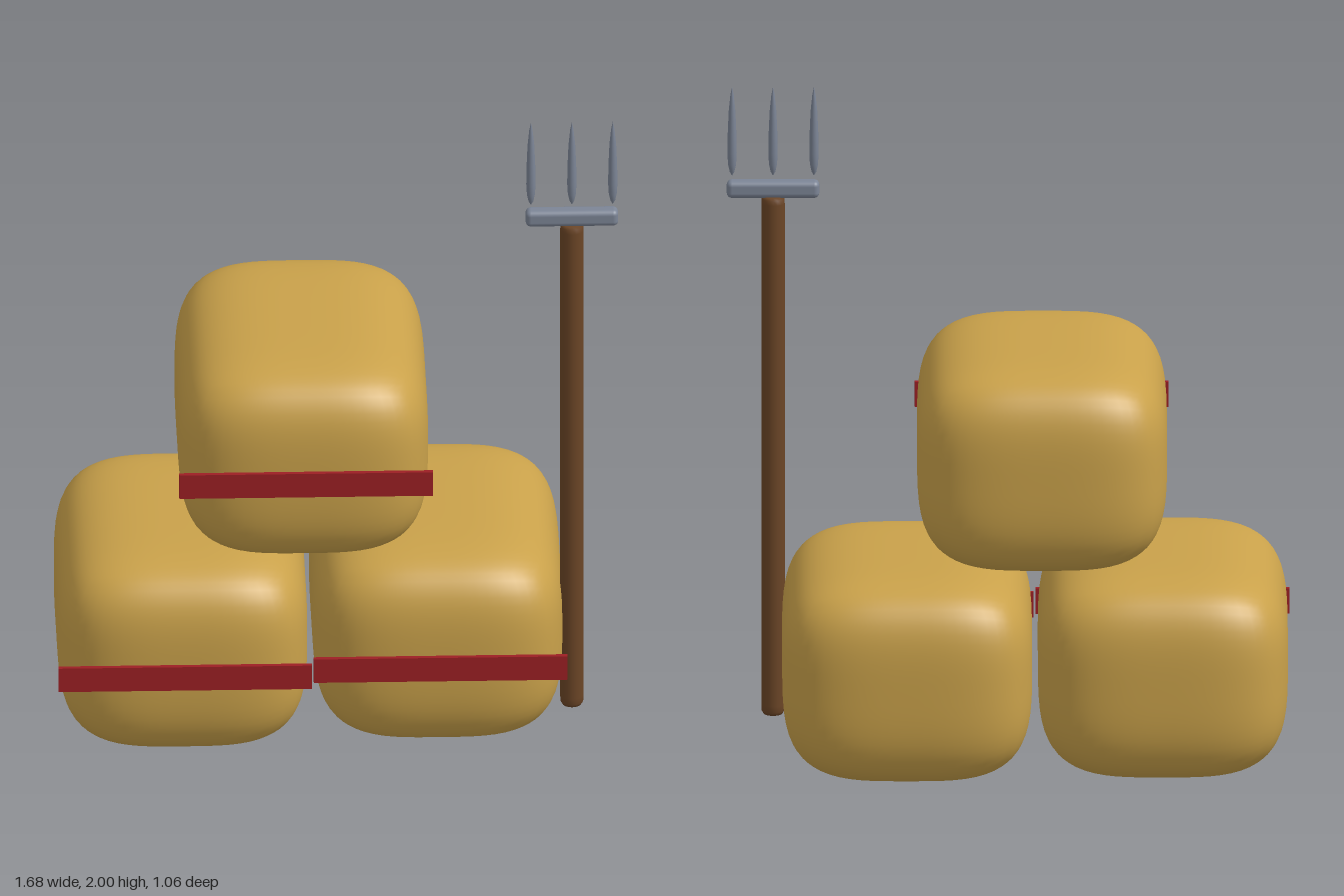
import * as THREE from 'three';
import { mergeVertices } from 'three/addons/utils/BufferGeometryUtils.js';
import { RoundedBoxGeometry } from 'three/addons/geometries/RoundedBoxGeometry.js';

const mat = (name, color) => {
  const m = new THREE.MeshStandardMaterial({ color });
  m.name = name;
  return m;
};

// Pillow-like box: each point is pulled onto |x|^3.5 + |y|^3.5 + |z|^6 = 1
function baleGeometry(w, h, d) {
  let g = new THREE.BoxGeometry(2, 2, 2, 20, 20, 20);
  g.deleteAttribute('uv');
  g.deleteAttribute('normal');
  g = mergeVertices(g);
  const p = g.attributes.position;
  for (let i = 0; i < p.count; i++) {
    const x = p.getX(i), y = p.getY(i), z = p.getZ(i);
    let lo = 0, hi = 1;
    for (let k = 0; k < 24; k++) {
      const t = (lo + hi) / 2;
      const sum = Math.abs(x * t) ** 3.5 + Math.abs(y * t) ** 3.5 + Math.abs(z * t) ** 6;
      if (sum > 1) hi = t; else lo = t;
    }
    p.setXYZ(i, x * lo * w / 2, y * lo * h / 2, z * lo * d / 2);
  }
  g.computeVertexNormals();
  return g;
}

const lathe = (points, sides) =>
  new THREE.LatheGeometry(points.map(([r, y]) => new THREE.Vector2(r, y)), sides);

export function createModel() {
  const root = new THREE.Group();
  root.name = 'hayBalesWithFork';
  const straw = mat('straw', 0xc9a14a);
  const red = mat('redStrap', 0x9c1f24);
  const wood = mat('wood', 0x6b4526);
  const steel = mat('steel', 0x7c8596);

  const add = (parent, name, geo, material, x, y, z) => {
    const m = new THREE.Mesh(geo, material);
    m.name = name;
    m.position.set(x, y, z);
    parent.add(m);
  };

  // Three stacked bales, each with a strap in front
  const baleGeo = baleGeometry(0.745, 0.63, 0.99);
  const strapGeo = new THREE.BoxGeometry(0.756, 0.078, 0.015);
  const bales = [
    ['leftBale', 0.3, 0.32, -0.035],
    ['rightBale', -0.462, 0.32, 0.005],
    ['topBale', -0.102, 0.96, 0.005],
  ];
  for (const [name, x, y, z] of bales) {
    const bale = new THREE.Group();
    bale.name = name;
    bale.position.set(x, y, z);
    add(bale, 'hay', baleGeo, straw, 0, 0, 0);
    add(bale, 'strap', strapGeo, red, 0, 0, 0.515);
    root.add(bale);
  }

  // Pitchfork standing beside the bales
  const fork = new THREE.Group();
  fork.name = 'pitchfork';
  fork.position.set(0.699, 0, 0.205);
  root.add(fork);
  const shaft = [[0, 0.06], [0.028, 0.06], [0.034, 0.07], [0.035, 0.09],
    [0.035, 1.64], [0.034, 1.655], [0.028, 1.662], [0, 1.662]];
  add(fork, 'shaft', lathe(shaft, 16), wood, 0, 0, 0);
  add(fork, 'crossbar', new RoundedBoxGeometry(0.276, 0.052, 0.05, 3, 0.016), steel, 0, 1.685, 0);

  // Slim tines, pointed at both ends
  const tine = [[0, 0], [0.007, 0.012], [0.012, 0.035], [0.014, 0.07],
    [0.013, 0.13], [0.010, 0.2], [0.005, 0.25], [0, 0.275]];
  const tineGeo = lathe(tine, 12);
  for (const x of [-0.122, 0, 0.122]) add(fork, 'tine', tineGeo, steel, x, 1.725, 0);

  return root;
}
